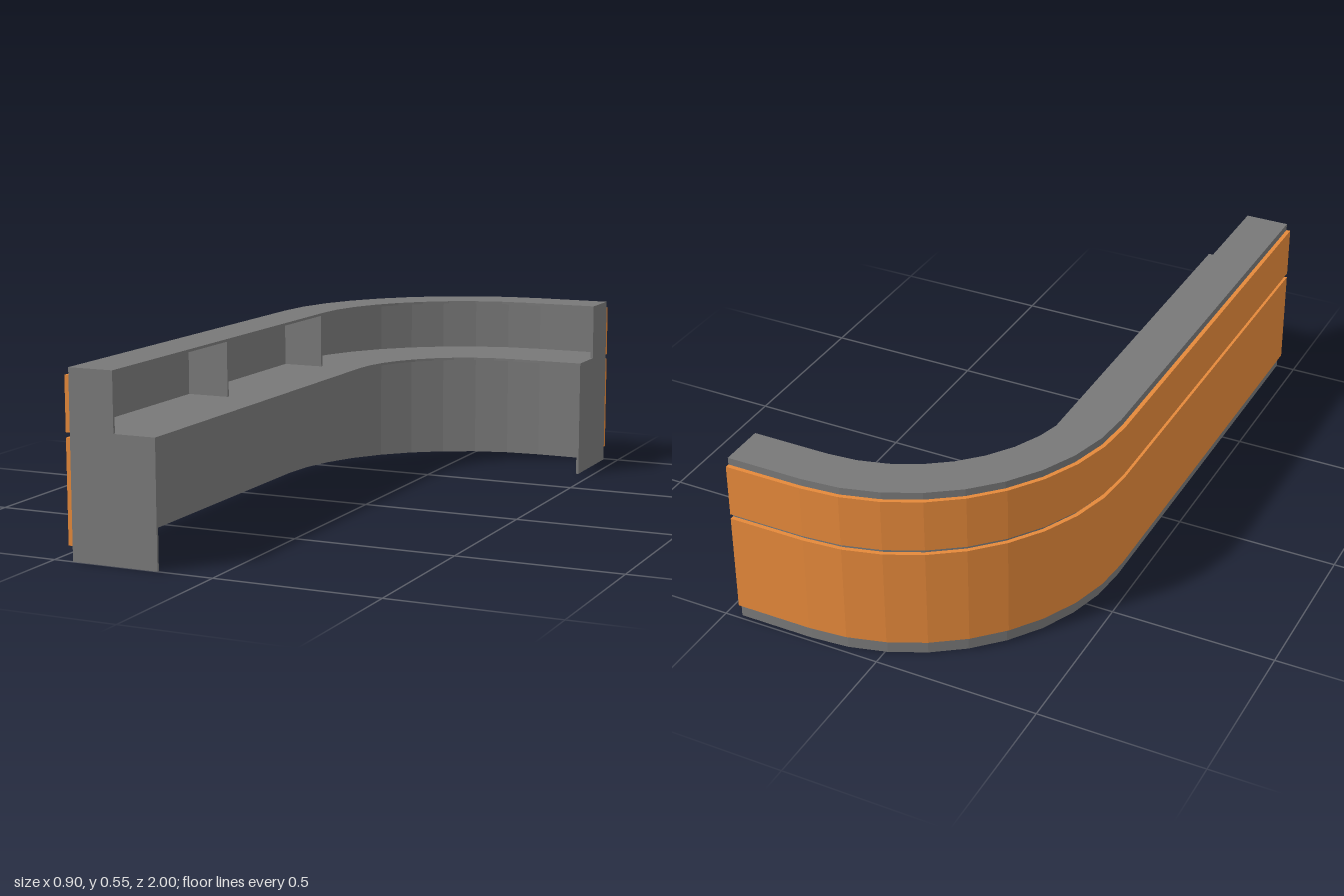
import * as THREE from 'three';

const T = 0.008;                 // board thickness
const SKIN = 0.013;              // cladding thickness
const W = 0.4525;                // half width
const R = 0.67;                  // outer radius of the bend
const CX = R - W, CZ = R - 1;    // bend centre
const TOP = 0.547, DESK = 0.372; // heights
const LEDGE_DEPTH = 0.152, DESK_DEPTH = 0.282;

const grey = new THREE.MeshStandardMaterial({ color: 0x787878, flatShading: true });
const orange = new THREE.MeshStandardMaterial({ color: 0xe4883a, flatShading: true });

// Plan line running parallel to the outer face at depth d, in (x, -z)
function planLine(d, inset) {
  const r = R - d;
  const pts = [new THREE.Vector2(CX - r, -(1 - inset))];
  for (let i = 0; i <= 9; i++) {
    const a = (i * Math.PI) / 18;
    pts.push(new THREE.Vector2(CX - r * Math.cos(a), -(CZ - r * Math.sin(a))));
  }
  pts.push(new THREE.Vector2(W - inset, -(CZ - r)));
  return pts;
}

// Curved board between two depths and two heights
function strip(name, d0, d1, y0, y1, material, inset = 0) {
  const shape = new THREE.Shape([...planLine(d0, inset), ...planLine(d1, inset).reverse()]);
  const geo = new THREE.ExtrudeGeometry(shape, { depth: y1 - y0, bevelEnabled: false });
  geo.rotateX(-Math.PI / 2).translate(0, y0, 0);
  const mesh = new THREE.Mesh(geo, material);
  mesh.name = name;
  return mesh;
}

// Box given by its minimum and maximum corners
function board(name, x0, x1, y0, y1, z0, z1) {
  const mesh = new THREE.Mesh(new THREE.BoxGeometry(x1 - x0, y1 - y0, z1 - z0), grey);
  mesh.position.set((x0 + x1) / 2, (y0 + y1) / 2, (z0 + z1) / 2);
  mesh.name = name;
  return mesh;
}

export function createModel() {
  const g = new THREE.Group();
  g.name = 'receptionCounter';

  // Wall, worktop and raised ledge; the space below each is open to the inside
  g.add(strip('outerWall', SKIN, SKIN + T, 0, TOP - T, grey, T));
  g.add(strip('worktop', SKIN, DESK_DEPTH, DESK - T, DESK, grey));
  g.add(strip('topLedge', SKIN, LEDGE_DEPTH, TOP - T, TOP, grey));

  // Cladding bands
  g.add(strip('lowerCladding', 0, SKIN, 0.045, 0.35, orange));
  g.add(strip('upperCladding', 0, SKIN, 0.365, 0.525, orange));

  // Stepped end panels: a wide part under the worktop, a narrow one under the ledge
  for (const [part, depth, y0, y1] of [['lower', DESK_DEPTH, 0, DESK - T], ['upper', LEDGE_DEPTH, DESK, TOP - T]]) {
    g.add(board(part + 'FrontEndPanel', -W + SKIN, -W + depth, y0, y1, 1 - T, 1));
    g.add(board(part + 'SideEndPanel', W - T, W, y0, y1, -1 + SKIN, -1 + depth));
  }

  // Dividers in the niche under the ledge
  for (const z of [0.337, -0.314]) {
    g.add(board('nicheDivider', -W + SKIN + T, -W + LEDGE_DEPTH, DESK, TOP - T, z - T / 2, z + T / 2));
  }
  return g;
}
